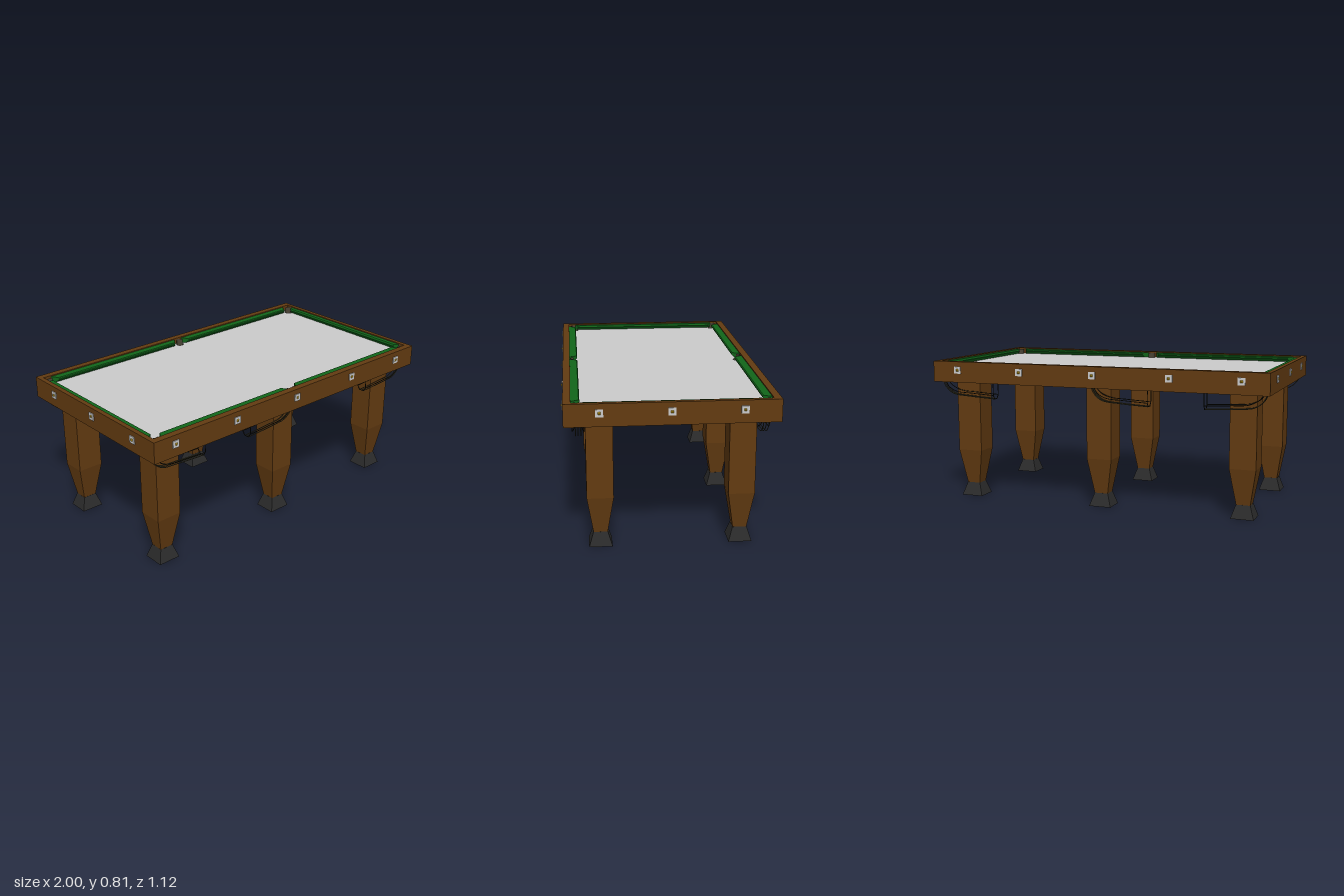
import * as THREE from 'three';

const paint = (color, side = THREE.FrontSide) =>
  new THREE.MeshStandardMaterial({ color, side });
const wood = paint(0x633b11);
const green = paint(0x11661a);
const grey = paint(0xcccccc);
const rubber = paint(0x2b2b2b);
const brass = paint(0xc9a21a);
const wireBlack = paint(0x16160f);
const wireOlive = paint(0x45422c);
const liner = paint(0x4a4334, THREE.DoubleSide);

// Main heights and half sizes
const TOP = 0.815, UNDER = 0.695, BED = 0.78;
const HX = 0.99, HZ = 0.55, INX = 0.963, INZ = 0.51;

// Six pockets: corners and the middle of each long side
const pockets = [];
for (const sz of [1, -1]) {
  for (const sx of [-1, 0, 1]) {
    pockets.push({ sx, sz, x: sx * 0.938, z: sz * (sx ? 0.472 : 0.487), r: sx ? 0.024 : 0.022 });
  }
}

function add(parent, name, geometry, material, x = 0, y = 0, z = 0) {
  const mesh = new THREE.Mesh(geometry, material);
  mesh.name = name;
  mesh.position.set(x, y, z);
  parent.add(mesh);
  return mesh;
}

function rectangle(Type, hx, hz) {
  return new Type([[-hx, -hz], [hx, -hz], [hx, hz], [-hx, hz]].map(p => new THREE.Vector2(...p)));
}

// Extrude a plan shape upwards
function slab(shape, depth) {
  return new THREE.ExtrudeGeometry(shape, { depth, bevelEnabled: false, curveSegments: 12 })
    .rotateX(-Math.PI / 2);
}

// Box standing on y = 0 whose bottom is a different size from its top
function taperedBox(topW, topD, bottomW, bottomD, height) {
  const g = new THREE.BoxGeometry(topW, height, topD).translate(0, height / 2, 0);
  const p = g.attributes.position;
  for (let i = 0; i < p.count; i++) {
    if (p.getY(i) < height / 2) {
      p.setX(i, p.getX(i) * bottomW / topW);
      p.setZ(i, p.getZ(i) * bottomD / topD);
    }
  }
  g.computeVertexNormals();
  return g;
}

// Cushion along x, wall at z = 0, nose towards -z, ends mitred
function cushion(length, depth) {
  const shape = new THREE.Shape([
    [0, 0], [0, 0.029], [depth * 0.9, 0.029], [depth, 0.024], [depth, 0.017], [depth * 0.6, 0],
  ].map(p => new THREE.Vector2(...p)));
  const g = new THREE.ExtrudeGeometry(shape, { depth: length, bevelEnabled: false })
    .translate(0, 0, -length / 2).rotateY(Math.PI / 2);
  const p = g.attributes.position;
  for (let i = 0; i < p.count; i++) {
    p.setX(i, p.getX(i) + Math.sign(p.getX(i)) * p.getZ(i) * 0.6);
  }
  g.computeVertexNormals();
  return g;
}

const wire = (points, radius) => new THREE.TubeGeometry(
  new THREE.CatmullRomCurve3(points.map(p => new THREE.Vector3(...p)), false, 'centripetal'), 28, radius, 6);

// Bent rod with sharp corners
function rod(points, radius) {
  const path = new THREE.CurvePath();
  for (let i = 1; i < points.length; i++) {
    path.add(new THREE.LineCurve3(new THREE.Vector3(...points[i - 1]), new THREE.Vector3(...points[i])));
  }
  return new THREE.TubeGeometry(path, 48, radius, 6);
}

// Wire ball-return track hanging below a pocket
function ballReturn({ sx, sz, x }) {
  const group = new THREE.Group();
  group.name = 'ballReturn';
  const dir = sx < 0 ? 1 : -1;
  group.position.set(x + dir * -0.01, 0, sz * 0.475);
  for (const side of [-1, 1]) {
    add(group, 'upperRail', wire([
      [0, 0.7, side * 0.015], [dir * 0.02, 0.668, side * 0.022], [dir * 0.075, 0.639, side * 0.03],
      [dir * 0.18, 0.63, side * 0.03], [dir * 0.32, 0.622, side * 0.03]], 0.0022), wireBlack);
  }
  for (const z of [-0.014, 0, 0.014]) {
    add(group, 'lowerRail', wire([
      [dir * -0.02, 0.7, z], [dir * 0.005, 0.655, z], [dir * 0.05, 0.622, z],
      [dir * 0.15, 0.61, z], [dir * 0.32, 0.6, z]], 0.0025), wireOlive);
  }
  const e = dir * 0.32;
  add(group, 'endHanger', rod([
    [e, 0.7, 0.03], [e, 0.622, 0.03], [e, 0.6, 0.014],
    [e, 0.6, -0.014], [e, 0.622, -0.03], [e, 0.7, -0.03]], 0.0025), wireBlack);
  return group;
}

// Square plate with a small brass point, facing +z
function stud(x, z, turn) {
  const group = new THREE.Group();
  group.name = 'railStud';
  add(group, 'plate', new THREE.BoxGeometry(0.04, 0.04, 0.006), grey, 0, 0, 0.002);
  add(group, 'brassPoint', taperedBox(0.004, 0.004, 0.014, 0.014, 0.005).rotateX(Math.PI / 2),
    brass, 0, 0, 0.005);
  group.position.set(x, 0.766, z);
  group.rotation.y = turn;
  return group;
}

export function createModel() {
  const model = new THREE.Group();
  model.name = 'poolTable';

  // Wooden frame
  const frame = rectangle(THREE.Shape, HX, HZ);
  frame.holes.push(rectangle(THREE.Path, INX, INZ));
  add(model, 'frame', slab(frame, TOP - UNDER), wood, 0, UNDER, 0);

  // Bed and playing surface, pierced by the pockets
  const bed = rectangle(THREE.Shape, INX, INZ);
  for (const p of pockets) {
    bed.holes.push(new THREE.Path().absarc(p.x, -p.z, p.r, 0, Math.PI * 2, true));
  }
  add(model, 'bed', slab(bed, BED - UNDER - 0.004), wood, 0, UNDER, 0);
  add(model, 'playingSurface', slab(bed, 0.004), grey, 0, BED - 0.004, 0);

  // Cushions: two on each long side, one on each end
  const longCushion = cushion(0.89, 0.045);
  const endCushion = cushion(0.935, 0.03);
  for (const s of [1, -1]) {
    const turn = s > 0 ? 0 : Math.PI;
    for (const x of [-0.472, 0.472]) {
      add(model, 'longCushion', longCushion.clone().rotateY(turn), green, x, BED, s * INZ);
    }
    add(model, 'endCushion', endCushion.clone().rotateY(s * Math.PI / 2), green, s * INX, BED, 0);
  }

  // Pocket linings, raised on the outer side, and the tracks beneath
  for (const p of pockets) {
    const h = BED - UNDER;
    add(model, 'pocketTube', new THREE.CylinderGeometry(p.r - 0.0005, p.r - 0.0005, h, 24, 1, true),
      liner, p.x, UNDER + h / 2, p.z);
    const start = Math.atan2(p.sx, p.sz) - Math.PI / 2;
    add(model, 'pocketBack', new THREE.CylinderGeometry(p.r, p.r, 0.027, 16, 1, true, start, Math.PI),
      liner, p.x, BED + 0.0135, p.z);
    model.add(ballReturn(p));
  }

  // Legs with tapered ends and flared feet
  for (const x of [-0.828, 0, 0.825]) {
    for (const z of [-0.37, 0.37]) {
      const leg = new THREE.Group();
      leg.name = 'leg';
      leg.position.set(x, 0, z);
      add(leg, 'legPost', new THREE.BoxGeometry(0.148, 0.42, 0.14), wood, 0, 0.488, 0);
      add(leg, 'legTaper', taperedBox(0.148, 0.14, 0.078, 0.074, 0.205), wood, 0, 0.073, 0);
      add(leg, 'foot', taperedBox(0.08, 0.076, 0.13, 0.124, 0.075), rubber);
      model.add(leg);
    }
  }

  // Studs around the frame
  for (const s of [1, -1]) {
    for (const x of [-0.855, -0.445, -0.003, 0.44, 0.832]) {
      model.add(stud(s > 0 || x > -0.8 ? x : -0.84, s * HZ, s > 0 ? 0 : Math.PI));
    }
    for (const z of [-0.36, 0.007, 0.37]) model.add(stud(s * HX, z, s * Math.PI / 2));
  }
  return model;
}
